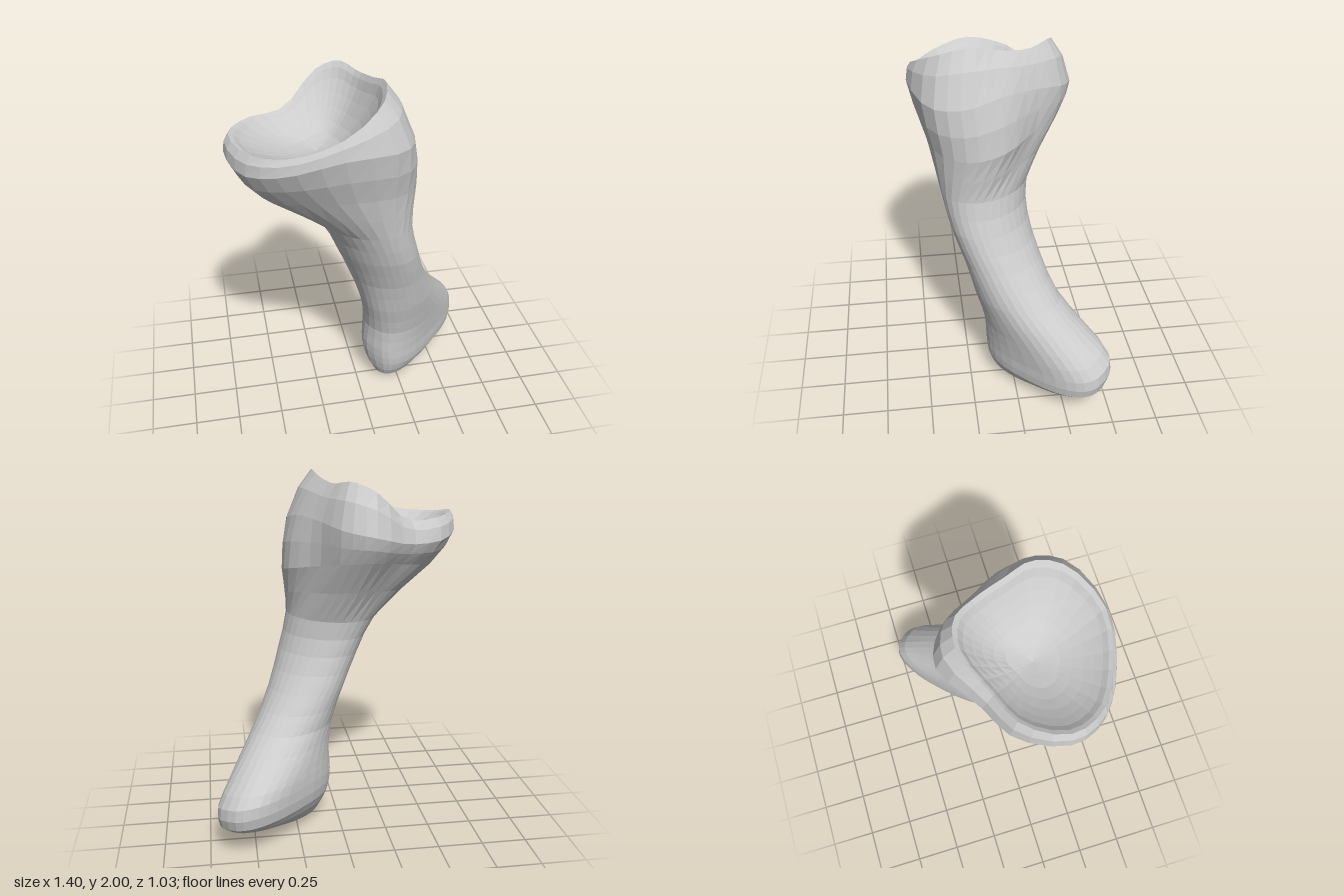
import * as THREE from 'three';

const N = 32; // points around each cross-section
const v = (x, y, z) => new THREE.Vector3(x, y, z);
const power = (c, e) => Math.sign(c) * Math.abs(c) ** e;

// Rounded section: a runs along the foot (+x,-z), b across it; slope and tilt
// raise it along those axes, e below 1 makes it squarer
function section([cx, y, cz, a, b, slope = 0, tilt = 0, e = 1]) {
  const k = Math.SQRT1_2;
  return Array.from({ length: N }, (_, i) => {
    const t = (i / N) * Math.PI * 2 + Math.PI / 4;
    const p = a * power(Math.cos(t), e), q = b * power(Math.sin(t), e);
    return v(cx + k * (p + q), y + slope * p + tilt * q, cz + k * (q - p));
  });
}

// Irregular section: smooth closed loop through a few points, starting at +x towards +z
function loop(points) {
  const curve = new THREE.CatmullRomCurve3(points.map((p) => v(...p)), true);
  return Array.from({ length: N }, (_, i) => curve.getPoint(i / N));
}

// Skin the sections, smoothing along the length
function loft(rings, steps) {
  const rows = steps * (rings.length - 1) + 1;
  const pos = new Float32Array(rows * N * 3);
  for (let i = 0; i < N; i++) {
    const line = new THREE.CatmullRomCurve3(rings.map((r) => r[i]), false, 'centripetal');
    for (let j = 0; j < rows; j++) line.getPoint(j / (rows - 1)).toArray(pos, (j * N + i) * 3);
  }
  const index = [];
  for (let j = 0; j < rows - 1; j++) {
    for (let i = 0; i < N; i++) {
      const a = j * N + i, b = j * N + ((i + 1) % N);
      index.push(a, a + N, b, b, a + N, b + N);
    }
  }
  const geo = new THREE.BufferGeometry();
  geo.setAttribute('position', new THREE.BufferAttribute(pos, 3));
  geo.setIndex(index);
  const flat = geo.toNonIndexed();
  flat.computeVertexNormals();
  return flat;
}

export function createModel() {
  // Foot and shaft, from the sole upwards
  const shaft = [
    [0.22, 0.0, -0.02, 0.003, 0.003],
    [0.24, 0.03, -0.04, 0.12, 0.07, 0.08],
    [0.37, 0.085, -0.16, 0.33, 0.13, 0.13, -0.08, 0.85],
    [0.375, 0.165, -0.18, 0.385, 0.18, 0.02, -0.15, 0.77],
    [0.37, 0.28, -0.18, 0.395, 0.19, 0.03, -0.2, 0.77],
    [0.335, 0.41, -0.13, 0.34, 0.195, 0, -0.1, 0.87],
    [0.255, 0.6, -0.02, 0.26, 0.2],
    [0.17, 0.8, 0.05, 0.205, 0.22],
    [0.095, 1.0, 0.11, 0.19, 0.245],
    [0.02, 1.2, 0.13, 0.21, 0.275],
  ].map(section);

  // Flared head: underside, widest line and crest of the rim
  const underside = loop([
    [0.26, 1.48, 0.04], [0.28, 1.45, 0.22], [0.18, 1.45, 0.37], [-0.08, 1.47, 0.44],
    [-0.32, 1.46, 0.39], [-0.5, 1.44, 0.28], [-0.56, 1.47, 0.12], [-0.47, 1.5, -0.06],
    [-0.31, 1.53, -0.18], [-0.15, 1.56, -0.3], [0, 1.55, -0.26], [0.12, 1.52, -0.12],
  ]);
  const widest = loop([
    [0.21, 1.77, 0.06], [0.25, 1.73, 0.24], [0.18, 1.72, 0.41], [-0.15, 1.74, 0.52],
    [-0.45, 1.66, 0.46], [-0.63, 1.63, 0.33], [-0.7, 1.68, 0.15], [-0.58, 1.64, -0.09],
    [-0.37, 1.64, -0.21], [-0.16, 1.7, -0.355], [0, 1.73, -0.3], [0.11, 1.76, -0.12],
  ]);
  const crest = loop([
    [0.08, 1.97, 0.06], [0.11, 2.0, 0.2], [0.06, 1.95, 0.36], [-0.15, 1.84, 0.49],
    [-0.4, 1.75, 0.45], [-0.6, 1.74, 0.33], [-0.67, 1.77, 0.15], [-0.56, 1.76, -0.05],
    [-0.36, 1.76, -0.15], [-0.17, 1.92, -0.25], [-0.05, 1.97, -0.22], [0.03, 1.95, -0.1],
  ]);

  // Hollow socket: the crest shrinks towards the floor
  const floor = v(-0.23, 1.62, 0.11);
  const socket = [0.88, 0.65, 0.35, 0.01].map((t) =>
    crest.map((p) => v(
      THREE.MathUtils.lerp(floor.x, p.x, t),
      THREE.MathUtils.lerp(floor.y, p.y, t * t),
      THREE.MathUtils.lerp(floor.z, p.z, t),
    )));

  const bone = new THREE.Mesh(
    loft([...shaft, underside, widest, crest, ...socket], 2),
    new THREE.MeshStandardMaterial({ color: 0xcccccc, flatShading: true }),
  );
  bone.name = 'bone';
  const group = new THREE.Group();
  group.name = 'boneModel';
  group.add(bone);
  return group;
}
